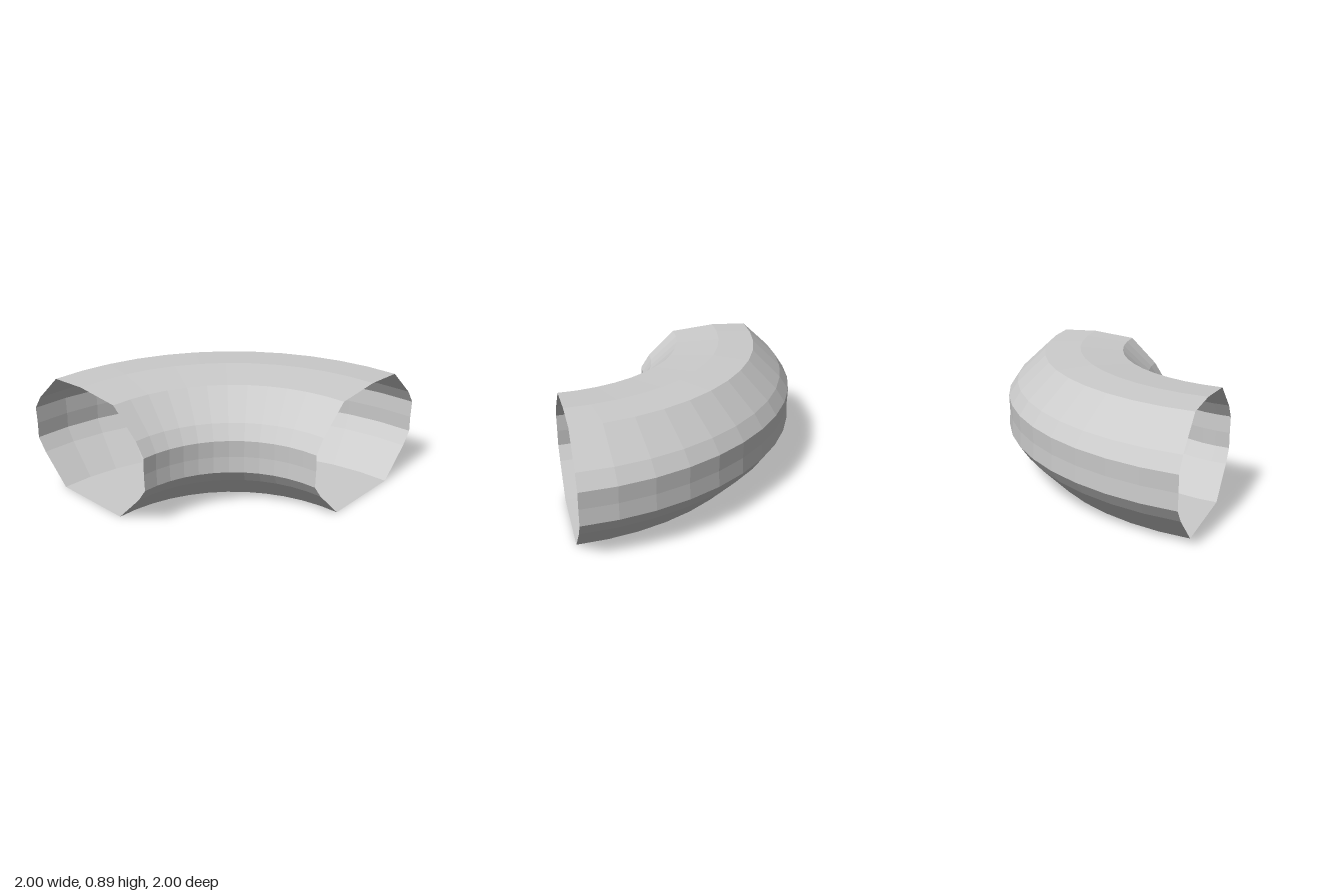
import * as THREE from 'three';

// Cross-section as [radius, height], running out along the floor, up the outside and back down the inside
const SECTION = [
  [1.09, 0], [1.71, 0], [1.93, 0.22], [2, 0.32], [1.995, 0.44], [2, 0.565], [1.93, 0.67],
  [1.71, 0.88], [1.43, 0.895], [1.09, 0.865], [0.88, 0.67], [0.81, 0.565], [0.815, 0.44],
  [0.81, 0.32], [0.88, 0.22], [1.09, 0],
];

export function createModel() {
  const group = new THREE.Group();
  group.name = 'tunnelBend';

  // Hollow quarter-turn tube with both ends open
  const profile = SECTION.map(([r, y]) => new THREE.Vector2(r, y));
  const geometry = new THREE.LatheGeometry(profile, 12, Math.PI, Math.PI / 2);
  const material = new THREE.MeshStandardMaterial({
    color: 0xcccccc, flatShading: true, side: THREE.DoubleSide,
  });
  const shell = new THREE.Mesh(geometry, material);
  shell.name = 'curvedTubeShell';

  // The turning centre sits at the front left corner
  shell.position.set(1, 0, 1);
  group.add(shell);
  return group;
}
